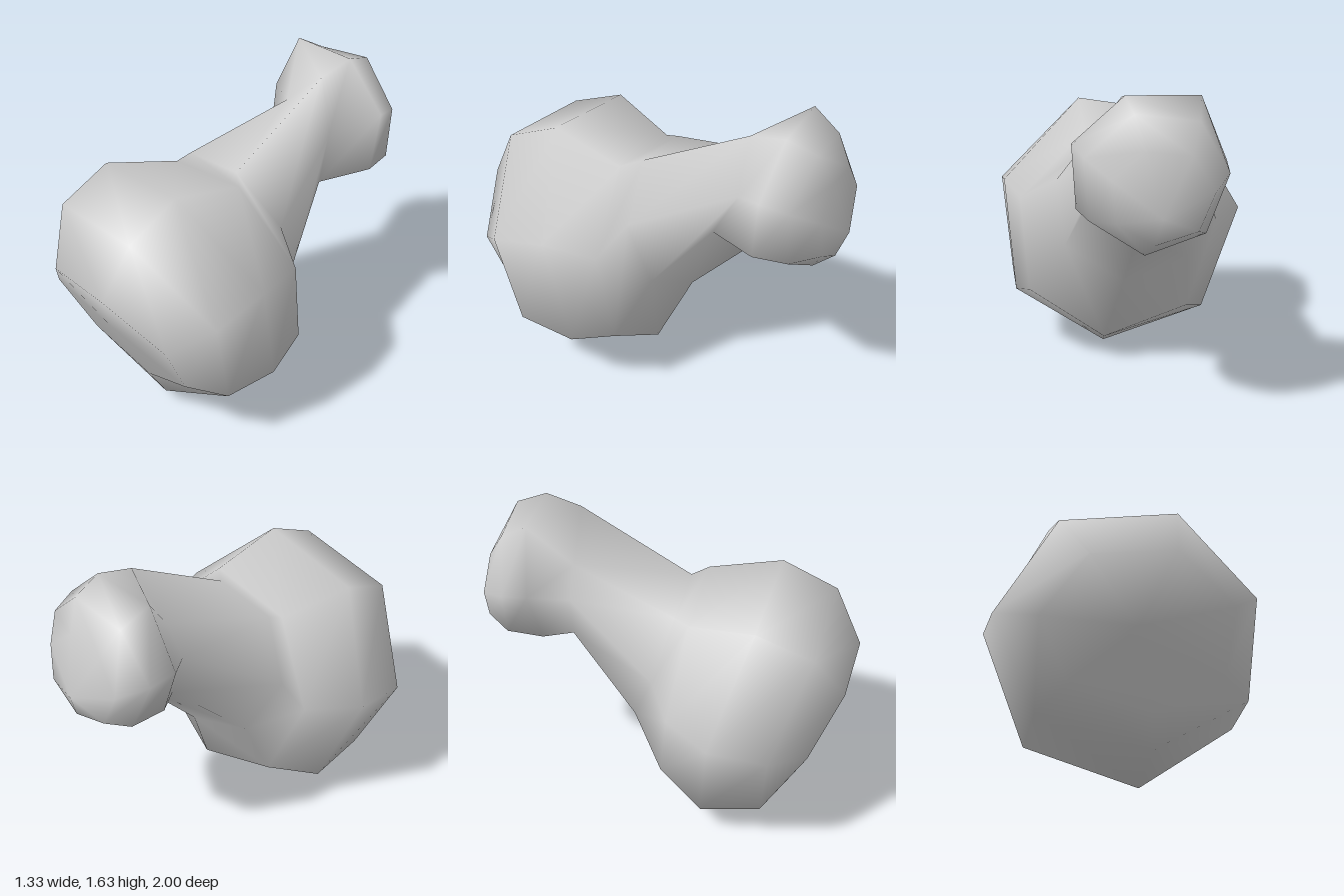
import * as THREE from 'three';

const SIDES = 7;
const START = THREE.MathUtils.degToRad(73.5);

// Cross-sections from the bulky front to the small rear knob:
// [centreX, radiusX, topY, bottomY, topZ, bottomZ, z shift of the flanks]
const SECTIONS = [
  [0.02, 0.49, 0.94, 0.25, 1.00, 0.69, -0.04],
  [0.01, 0.68, 1.23, 0.08, 0.86, 0.60, -0.10],
  [0.01, 0.69, 1.36, 0.00, 0.57, 0.28, -0.10],
  [0.07, 0.56, 1.26, 0.14, 0.17, 0.00, 0],
  [0.01, 0.42, 1.26, 0.52, 0.09, -0.17, 0.03],
  [0.03, 0.22, 1.585, 0.88, -0.50, -0.50, 0.02],
  [0.05, 0.39, 1.63, 0.89, -0.69, -0.62, 0],
  [0.04, 0.36, 1.575, 0.90, -0.85, -0.85, 0.05],
  [0.03, 0.25, 1.42, 0.98, -0.92, -0.95, 0],
];
// Corners off the regular outline: [section, corner, dx, dy, dz]
const NUDGES = [
  [5, 0, 0.05, 0, 0],
  [5, 1, -0.01, -0.1, 0],
  [5, 2, 0.05, 0, 0.11],
  [5, 5, 0, -0.05, 0],
  [5, 6, 0.01, -0.17, 0.01],
  [6, 6, -0.03, 0.04, 0],
];
const FRONT_TIP = [0, 0.6, 0.84];
const REAR_TIP = [0.04, 1.12, -1];

// Skin the seven-sided sections and close both ends
function skin() {
  const pos = [];
  const index = [];
  const sinTop = Math.sin(START);
  const sinLow = Math.sin(START - (3 * 2 * Math.PI) / SIDES);
  for (const [cx, rx, yTop, yLow, zTop, zLow, flank] of SECTIONS) {
    for (let i = 0; i < SIDES; i++) {
      const a = START - (i * 2 * Math.PI) / SIDES;
      const t = (Math.sin(a) - sinLow) / (sinTop - sinLow);
      pos.push(
        cx + rx * Math.cos(a),
        yLow + (yTop - yLow) * t,
        zLow + (zTop - zLow) * t + flank * Math.cos(a) ** 2
      );
    }
  }
  for (const [section, corner, ...shift] of NUDGES) {
    shift.forEach((s, k) => { pos[(section * SIDES + corner) * 3 + k] += s; });
  }
  const front = pos.length / 3;
  const rear = front + 1;
  pos.push(...FRONT_TIP, ...REAR_TIP);

  const last = (SECTIONS.length - 1) * SIDES;
  for (let i = 0; i < SIDES; i++) {
    const j = (i + 1) % SIDES;
    for (let r = 0; r < last; r += SIDES) {
      const a = r + i, b = r + j, c = a + SIDES, d = b + SIDES;
      index.push(a, b, c, b, d, c);
    }
    index.push(front, j, i, rear, last + i, last + j);
  }
  const geometry = new THREE.BufferGeometry();
  geometry.setAttribute('position', new THREE.Float32BufferAttribute(pos, 3));
  geometry.setIndex(index);
  geometry.computeVertexNormals();
  return geometry;
}

export function createModel() {
  const grey = new THREE.MeshStandardMaterial({ color: 0xcccccc });
  grey.name = 'plain grey';

  // One continuous smooth body: bulb, neck and knob
  const body = new THREE.Mesh(skin(), grey);
  body.name = 'bulbNeckAndKnob';

  const model = new THREE.Group();
  model.name = 'clubShape';
  model.add(body);
  return model;
}
